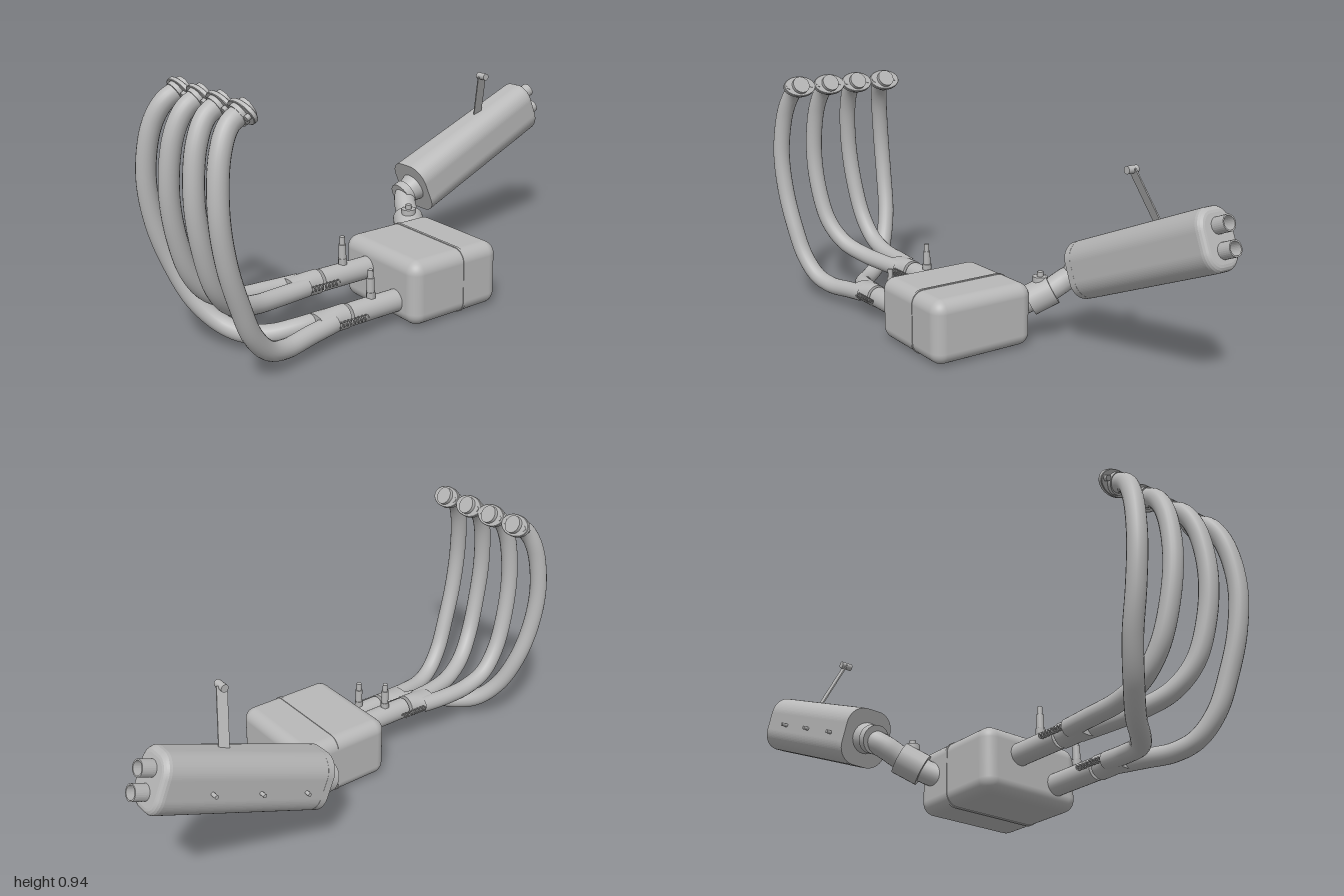
import * as THREE from 'three';
import { RoundedBoxGeometry } from 'three/addons/geometries/RoundedBoxGeometry.js';

const steel = new THREE.MeshStandardMaterial({ color: 0xb8b8b8 });
steel.name = 'brushed steel';

const V = (x, y, z) => new THREE.Vector3(x, y, z);
const UP = V(0, 1, 0);

function add(parent, name, geometry) {
  const mesh = new THREE.Mesh(geometry, steel);
  mesh.name = name;
  parent.add(mesh);
  return mesh;
}

// Cylinder running from point a to point b
function rod(parent, name, a, b, r0, r1 = r0, sides = 28) {
  const dir = b.clone().sub(a);
  const mesh = add(parent, name, new THREE.CylinderGeometry(r1, r0, dir.length(), sides));
  mesh.position.copy(a).lerp(b, 0.5);
  mesh.quaternion.setFromUnitVectors(UP, dir.normalize());
  return mesh;
}

function tube(parent, name, points, radius, segments = 64, sides = 20) {
  const curve = new THREE.CatmullRomCurve3(points.map((p) => V(...p)));
  return add(parent, name, new THREE.TubeGeometry(curve, segments, radius, sides));
}

function roundedRect(w, h, r) {
  const s = new THREE.Shape();
  const x = w / 2 - r, y = h / 2 - r;
  s.absarc(x, y, r, 0, Math.PI / 2);
  s.absarc(-x, y, r, Math.PI / 2, Math.PI);
  s.absarc(-x, -y, r, Math.PI, Math.PI * 1.5);
  s.absarc(x, -y, r, Math.PI * 1.5, Math.PI * 2);
  s.closePath();
  return s;
}

// Bolted oval flange; local +z points out of the pipe mouth
function flange(x) {
  const g = new THREE.Group();
  g.name = 'headerFlange';
  const shape = new THREE.Shape();
  shape.absellipse(0, 0, 0.067, 0.042, 0, Math.PI * 2);
  add(g, 'flangePlate', new THREE.ExtrudeGeometry(shape, {
    depth: 0.012, bevelSize: 0.002, bevelThickness: 0.002, bevelSegments: 1, curveSegments: 20,
  })).position.z = -0.008;
  rod(g, 'flangeMouth', V(0, 0, 0), V(0, 0, 0.022), 0.035);
  rod(g, 'flangeCollar', V(0, 0, -0.025), V(0, 0, 0), 0.039);
  for (const s of [-1, 1]) rod(g, 'flangeBolt', V(s * 0.05, 0, -0.024), V(s * 0.05, 0, 0.008), 0.011, 0.011, 6);
  g.position.set(x, 0.905, 0.845);
  g.lookAt(V(x, 0.905 + 0.5, 0.845 - 0.87));
  return g;
}

// Collector pipe with merging bell, springs and a sensor
function collector(x, y) {
  const g = new THREE.Group();
  g.name = 'collector';
  g.position.set(x, y, 0);
  rod(g, 'collectorPipe', V(0, 0, 0.15), V(0, 0, 0.405), 0.042);

  // Bell widens sideways from a circle to an oval
  const bell = new THREE.CylinderGeometry(0.045, 0.045, 0.12, 32, 6);
  bell.rotateX(Math.PI / 2);
  const p = bell.attributes.position;
  for (let i = 0; i < p.count; i++) {
    const t = THREE.MathUtils.smoothstep(p.getZ(i), -0.04, 0.06);
    p.setXY(i, p.getX(i) * (1 + 0.4 * t), p.getY(i) * (1 - 0.2 * t));
  }
  bell.computeVertexNormals();
  add(g, 'mergeBell', bell).position.z = 0.478;

  for (const s of [-1, 1]) {
    const coil = [];
    for (let i = 0; i <= 64; i++) {
      const a = (i / 8) * Math.PI * 2;
      coil.push([s * 0.056 + 0.009 * Math.cos(a), 0.009 * Math.sin(a), 0.36 + (0.12 * i) / 64]);
    }
    tube(g, 'retainingSpring', coil, 0.0028, 128, 5);
  }

  rod(g, 'sensorNut', V(0, 0.035, 0.305), V(0, 0.062, 0.305), 0.018, 0.018, 6);
  rod(g, 'sensorBody', V(0, 0.06, 0.305), V(0, 0.115, 0.305), 0.014);
  rod(g, 'sensorTip', V(0, 0.115, 0.305), V(0, 0.145, 0.305), 0.01);
  return g;
}

// Silencer built along local +z, tilted up toward the rear
function silencer() {
  const g = new THREE.Group();
  g.name = 'silencer';
  const bevel = 0.025, length = 0.69;
  const body = new THREE.ExtrudeGeometry(roundedRect(0.145, 0.17, 0.05), {
    depth: length - 2 * bevel, steps: 4, bevelSize: bevel, bevelThickness: bevel,
    bevelSegments: 4, curveSegments: 10,
  });
  body.translate(0, 0, bevel);
  const p = body.attributes.position;
  for (let i = 0; i < p.count; i++) p.setX(i, p.getX(i) * (1 - 0.2 * (p.getZ(i) / length)));
  add(g, 'silencerBody', body);

  // Front rim
  add(g, 'silencerRim', new THREE.ExtrudeGeometry(roundedRect(0.194, 0.218, 0.072), {
    depth: 0.03, bevelEnabled: false, curveSegments: 12,
  }));
  rod(g, 'inletCone', V(0, 0, -0.04), V(0, 0, 0.005), 0.047, 0.06);
  rod(g, 'inletCollar', V(0, 0, -0.072), V(0, 0, -0.04), 0.055);

  // Twin hollow outlets
  const wall = [[0.021, 0], [0.029, 0], [0.029, 0.07], [0.024, 0.07], [0.024, 0.012], [0, 0.012]];
  const outlet = new THREE.LatheGeometry(wall.map((q) => new THREE.Vector2(...q)), 28).toNonIndexed();
  outlet.computeVertexNormals();
  outlet.rotateX(Math.PI / 2);
  for (const s of [-1, 1]) add(g, 'outletPipe', outlet).position.set(0, s * 0.042, 0.672);

  // Side rivets on the outer face (local +x points to the model's right)
  for (let i = 0; i < 3; i++) {
    const z = 0.105 + 0.195 * i;
    rod(g, 'sideRivet', V(0.06, -0.01, z), V(0.114 - i * 0.003, -0.01, z), 0.007, 0.007, 12);
  }
  g.position.set(-0.285, 0.3, -0.295);
  g.lookAt(V(-0.305, 0.3 + 0.383, -0.295 - 0.924));
  return g;
}

export function createModel() {
  const model = new THREE.Group();
  model.name = 'exhaustSystem';

  // Chamber box with a centre seam
  add(model, 'chamber', new RoundedBoxGeometry(0.43, 0.245, 0.405, 6, 0.048)).position.set(0.115, 0.132, -0.007);
  add(model, 'chamberSeam', new THREE.ExtrudeGeometry(roundedRect(0.434, 0.251, 0.05), {
    depth: 0.01, bevelEnabled: false, curveSegments: 10,
  })).position.set(0.115, 0.132, -0.045);

  // Four header pipes, from flange to collector
  const headers = [
    [[-0.075, 0.905, 0.845], [-0.082, 0.872, 0.9], [-0.102, 0.79, 0.943], [-0.12, 0.62, 0.965], [-0.119, 0.45, 0.945],
      [-0.1, 0.3, 0.9], [-0.055, 0.175, 0.85], [0.01, 0.095, 0.79], [0.08, 0.068, 0.74], [0.145, 0.07, 0.675], [0.183, 0.083, 0.58], [0.195, 0.09, 0.48]],
    [[0.06, 0.905, 0.845], [0.06, 0.872, 0.9], [0.055, 0.79, 0.943], [0.045, 0.62, 0.965], [0.034, 0.45, 0.945],
      [0.022, 0.3, 0.895], [0.012, 0.21, 0.82], [0.009, 0.173, 0.72], [0.01, 0.165, 0.6], [0.02, 0.165, 0.48]],
    [[0.19, 0.905, 0.845], [0.194, 0.872, 0.9], [0.205, 0.79, 0.943], [0.214, 0.62, 0.965], [0.21, 0.45, 0.945],
      [0.19, 0.3, 0.895], [0.155, 0.215, 0.82], [0.112, 0.175, 0.71], [0.088, 0.165, 0.6], [0.075, 0.165, 0.48]],
    [[0.325, 0.905, 0.845], [0.333, 0.872, 0.9], [0.35, 0.79, 0.943], [0.366, 0.62, 0.965], [0.363, 0.45, 0.945],
      [0.35, 0.3, 0.9], [0.333, 0.18, 0.85], [0.31, 0.102, 0.78], [0.285, 0.075, 0.7], [0.26, 0.08, 0.59], [0.245, 0.09, 0.48]],
  ];
  for (const path of headers) {
    tube(model, 'headerPipe', path, 0.034, 80);
    model.add(flange(path[0][0]));
  }
  model.add(collector(0.05, 0.165), collector(0.22, 0.09));

  // Link pipe with clamp
  tube(model, 'linkPipe', [[-0.04, 0.125, -0.09], [-0.12, 0.165, -0.15], [-0.19, 0.21, -0.195], [-0.245, 0.248, -0.22],
    [-0.28, 0.275, -0.25], [-0.285, 0.295, -0.29]], 0.044, 40);
  rod(model, 'linkClamp', V(-0.125, 0.166, -0.15), V(-0.198, 0.212, -0.197), 0.06);
  rod(model, 'clampBoss', V(-0.16, 0.2, -0.17), V(-0.16, 0.262, -0.17), 0.028);
  rod(model, 'clampBolt', V(-0.16, 0.26, -0.17), V(-0.16, 0.28, -0.17), 0.012);

  model.add(silencer());

  // Hanger strap and its bush
  const foot = V(-0.293, 0.55, -0.655), head = V(-0.21, 0.745, -0.602);
  const along = head.clone().sub(foot);
  const strap = add(model, 'hangerStrap', new THREE.BoxGeometry(0.005, along.length(), 0.04));
  along.normalize();
  const across = along.clone().cross(V(0, 0, 1)).normalize();
  strap.quaternion.setFromRotationMatrix(new THREE.Matrix4().makeBasis(across, along, across.clone().cross(along)));
  strap.position.copy(foot).lerp(head, 0.5);
  rod(model, 'hangerBush', V(-0.23, 0.743, -0.602), V(-0.185, 0.743, -0.602), 0.014);

  return model;
}
